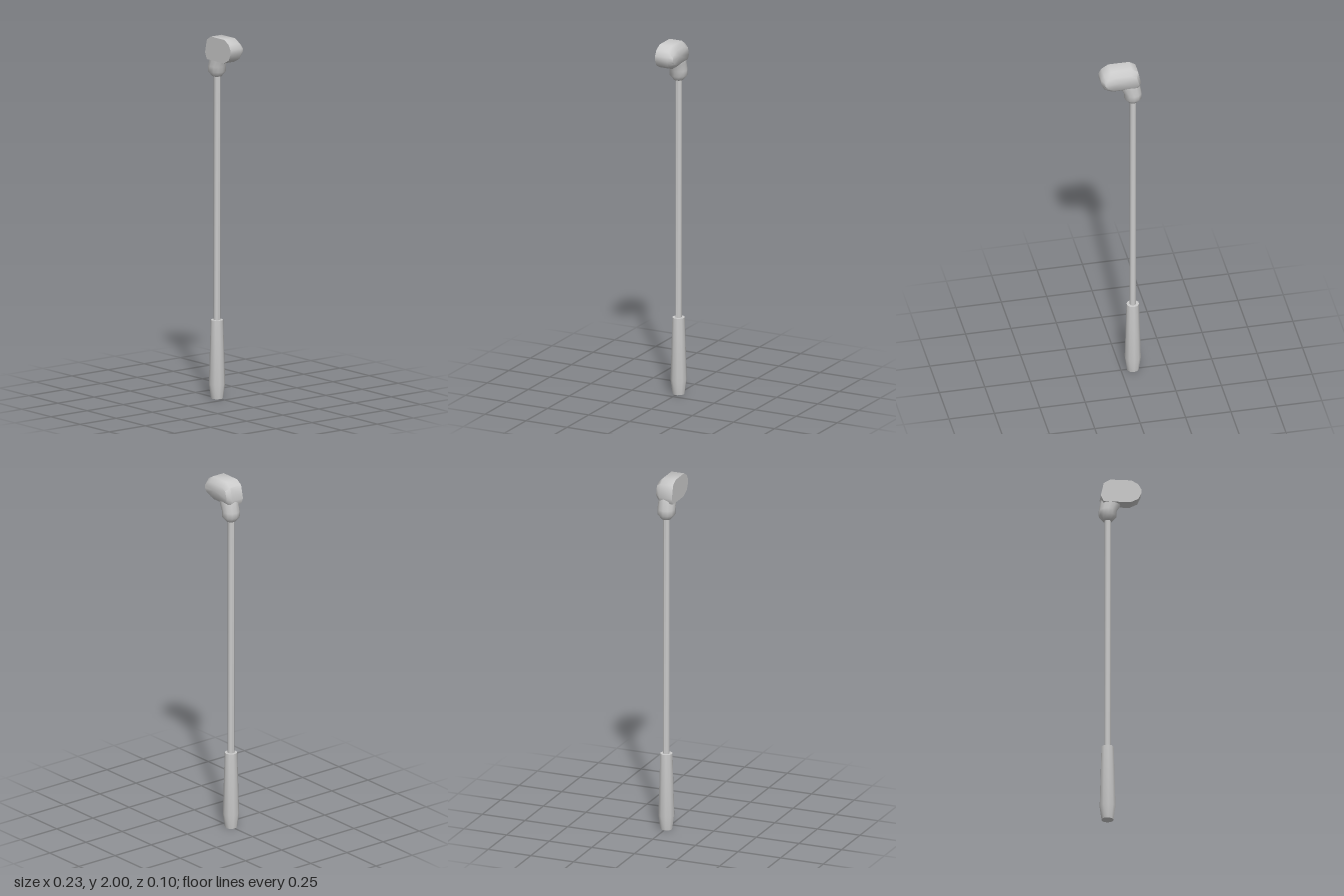
import * as THREE from 'three';
import { toCreasedNormals } from 'three/addons/utils/BufferGeometryUtils.js';

const material = new THREE.MeshStandardMaterial({ color: 0xcccccc });
const AXIS_X = -0.065;

function addMesh(group, name, geometry) {
  const mesh = new THREE.Mesh(toCreasedNormals(geometry, 0.95), material);
  mesh.name = name;
  group.add(mesh);
  return mesh;
}

// Closed solid through rings of equal length, each counter-clockwise seen from the last ring's side
function loft(rings) {
  const n = rings[0].length;
  const points = rings.flat();
  const index = [];
  for (let r = 0; r < rings.length - 1; r++) {
    for (let i = 0; i < n; i++) {
      const j = (i + 1) % n;
      const a = r * n + i, b = r * n + j;
      index.push(a, b, b + n, a, b + n, a + n);
    }
  }
  const cap = (start, flip) => {
    const centre = new THREE.Vector3();
    for (let i = 0; i < n; i++) centre.addScaledVector(points[start + i], 1 / n);
    const c = points.push(centre) - 1;
    for (let i = 0; i < n; i++) {
      const a = start + i, b = start + (i + 1) % n;
      index.push(c, flip ? b : a, flip ? a : b);
    }
  };
  cap(0, true);
  cap((rings.length - 1) * n, false);
  const geometry = new THREE.BufferGeometry().setFromPoints(points);
  geometry.setIndex(index);
  return geometry;
}

export function createModel() {
  const group = new THREE.Group();
  group.name = 'club';

  // Tapered grip
  const profile = [[0, 0], [0.033, 0], [0.044, 0.08], [0.034, 0.432], [0, 0.432]];
  addMesh(group, 'grip', new THREE.LatheGeometry(profile.map(([x, y]) => new THREE.Vector2(x, y)), 10))
    .position.x = AXIS_X;

  // Slim shaft
  addMesh(group, 'shaft', new THREE.CylinderGeometry(0.018, 0.018, 1.38, 10))
    .position.set(AXIS_X, 1.11, 0);

  // Neck, widening and leaning into the blade: x centre, y, x radius, z radius
  const neck = [
    [AXIS_X, 1.775, 0.026, 0.026],
    [AXIS_X, 1.802, 0.048, 0.049],
    [AXIS_X, 1.832, 0.048, 0.049],
    [-0.05, 1.872, 0.056, 0.048],
    [-0.038, 1.925, 0.06, 0.047],
    [-0.025, 1.965, 0.045, 0.036],
  ];
  addMesh(group, 'neck', loft(neck.map(([cx, y, rx, rz]) =>
    Array.from({ length: 12 }, (_, i) => {
      const t = (i / 12) * Math.PI * 2;
      return new THREE.Vector3(cx + rx * Math.cos(t), y, -rz * Math.sin(t));
    }))));

  // Blade with flat striking face and rounded back
  const outline = [
    [-0.09, 1.87], [0.055, 1.87], [0.097, 1.892], [0.113, 1.925], [0.113, 1.95],
    [0.097, 1.978], [0.06, 2], [-0.055, 2], [-0.09, 1.978], [-0.106, 1.905],
  ];
  const ring = (z, sx, sy) => outline.map(([x, y]) =>
    new THREE.Vector3(x * sx, 1.935 + (y - 1.935) * sy, z));
  addMesh(group, 'blade', loft([ring(-0.05, 0.85, 0.62), ring(-0.024, 1, 1), ring(0.05, 1, 1)]));

  return group;
}
